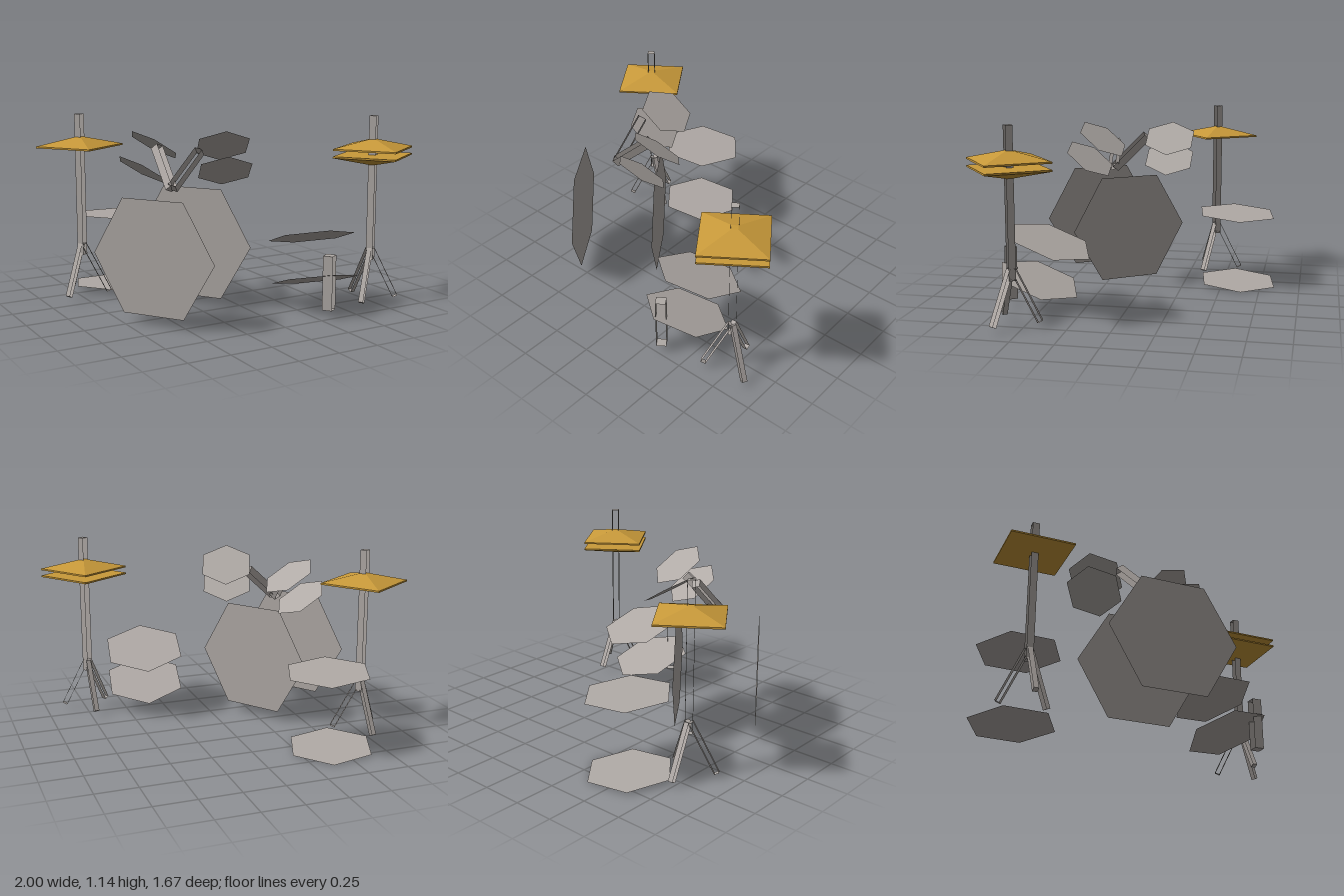
import * as THREE from 'three';

const mat = (name, color) => {
  const m = new THREE.MeshStandardMaterial({ color, flatShading: true, side: THREE.DoubleSide });
  m.name = name;
  return m;
};
const V = (a) => new THREE.Vector3(...a);

export function createModel() {
  const metal = mat('warm grey', 0xb0aaa6);
  const brass = mat('brass', 0xc99a3a);
  const kit = new THREE.Group();
  kit.name = 'drumKit';
  const yaw = THREE.MathUtils.degToRad(35);
  const side = [Math.cos(yaw), 0, -Math.sin(yaw)];
  const ahead = [Math.sin(yaw), 0, Math.cos(yaw)];

  const add = (parent, name, geo, material) => {
    const mesh = new THREE.Mesh(geo, material);
    mesh.name = name;
    parent.add(mesh);
    return mesh;
  };

  // Square bar between two points: two opposite sides (facing n) and both ends
  const bar = (parent, name, a, b, n, w) => {
    const p = V(a), q = V(b);
    const d = q.clone().sub(p);
    const len = d.length();
    d.normalize();
    const x = V(n).addScaledVector(d, -V(n).dot(d)).normalize();
    const geo = new THREE.BoxGeometry(w, len, w);
    geo.setIndex(Array.from(geo.index.array).slice(0, 24));
    geo.clearGroups();
    geo.applyMatrix4(new THREE.Matrix4().makeBasis(x, d, x.clone().cross(d)));
    add(parent, name, geo, metal).position.copy(p.add(q).multiplyScalar(0.5));
  };

  // Hexagonal drum skin: centre, facing, and the direction of one corner
  const skin = (parent, name, c, n, corner, r) => {
    const z = V(n).normalize();
    // keep the corner above its place on the plan
    const x = V(corner);
    if (z.y > 0.1) x.y = -(x.x * z.x + x.z * z.z) / z.y;
    x.normalize();
    const geo = new THREE.CircleGeometry(r, 6);
    geo.applyMatrix4(new THREE.Matrix4().makeBasis(x, z.clone().cross(x), z));
    add(parent, name, geo, metal).position.set(...c);
  };

  const drum = (name, c1, c2, n, corner, r) => {
    const g = new THREE.Group();
    g.name = name;
    skin(g, 'topSkin', c1, n, corner, r);
    skin(g, 'bottomSkin', c2, n, corner, r);
    kit.add(g);
  };

  // Drums
  drum('bassDrum', [-0.235, 0.39, 0.0875], [-0.632, 0.39, 0.367], side, ahead, 0.382);
  drum('snareDrum', [0.3875, 0.42, 0.4375], [0.365, 0.178, 0.52], [0.09, 0.945, -0.32], [0.04, 0, -0.247], 0.262);
  drum('floorTom', [-0.437, 0.472, -0.585], [-0.46, 0.015, -0.597], [0.04, 1, -0.04], [0.262, 0, -0.04], 0.262);
  drum('rightTom', [-0.367, 0.958, -0.15], [-0.457, 0.815, -0.133], [0.53, 0.84, -0.05], [1, 0, 0], 0.17);
  drum('leftTom', [-0.105, 0.975, 0.23], [-0.145, 0.843, 0.325], [0.22, 0.81, -0.54], [0.16, 0, -0.01], 0.17);

  // Tom arms and snare leg
  bar(kit, 'rightTomArm', [-0.44, 0.75, 0.225], [-0.425, 0.965, 0.01], side, 0.05);
  bar(kit, 'leftTomArm', [-0.44, 0.755, 0.24], [-0.225, 0.945, 0.165], [0.48, -0.2, 0.85], 0.05);
  bar(kit, 'snareLeg', [0.33, 0.045, 0.705], [0.33, 0.367, 0.705], side, 0.06);

  // Square cymbal with a thin rim
  const cymbalGeo = new THREE.LatheGeometry(
    [[0, 0], [0.266, 0], [0.266, 0.01], [0.025, 0.06], [0, 0.06]].map((p) => new THREE.Vector2(...p)), 4);
  cymbalGeo.rotateY(Math.PI / 4);

  // Cymbal stand: pole, tripod and one or two cymbals
  const stand = (name, x, z, paired) => {
    const g = new THREE.Group();
    g.name = name;
    bar(g, 'pole', [0, 0.27, 0], [0, 1.142, 0], [1, 0, 0], 0.042);
    for (const deg of [180, 60, -60]) {
      const t = THREE.MathUtils.degToRad(deg);
      const c = Math.cos(t), s = Math.sin(t);
      bar(g, 'standLeg', [0.01 * c, 0.335, 0.01 * s], [0.16 * c, 0.035, 0.16 * s], [c, 0, s], 0.03);
    }
    add(g, 'topCymbal', cymbalGeo, brass).position.y = 0.942;
    if (paired) {
      const low = add(g, 'bottomCymbal', cymbalGeo, brass);
      low.position.y = 0.908;
      low.rotation.x = Math.PI;
    }
    g.position.set(x, 0, z);
    g.rotation.y = yaw;
    kit.add(g);
  };
  stand('crashStand', -0.737, -0.42, false);
  stand('hiHatStand', 0.735, 0.567, true);

  return kit;
}
